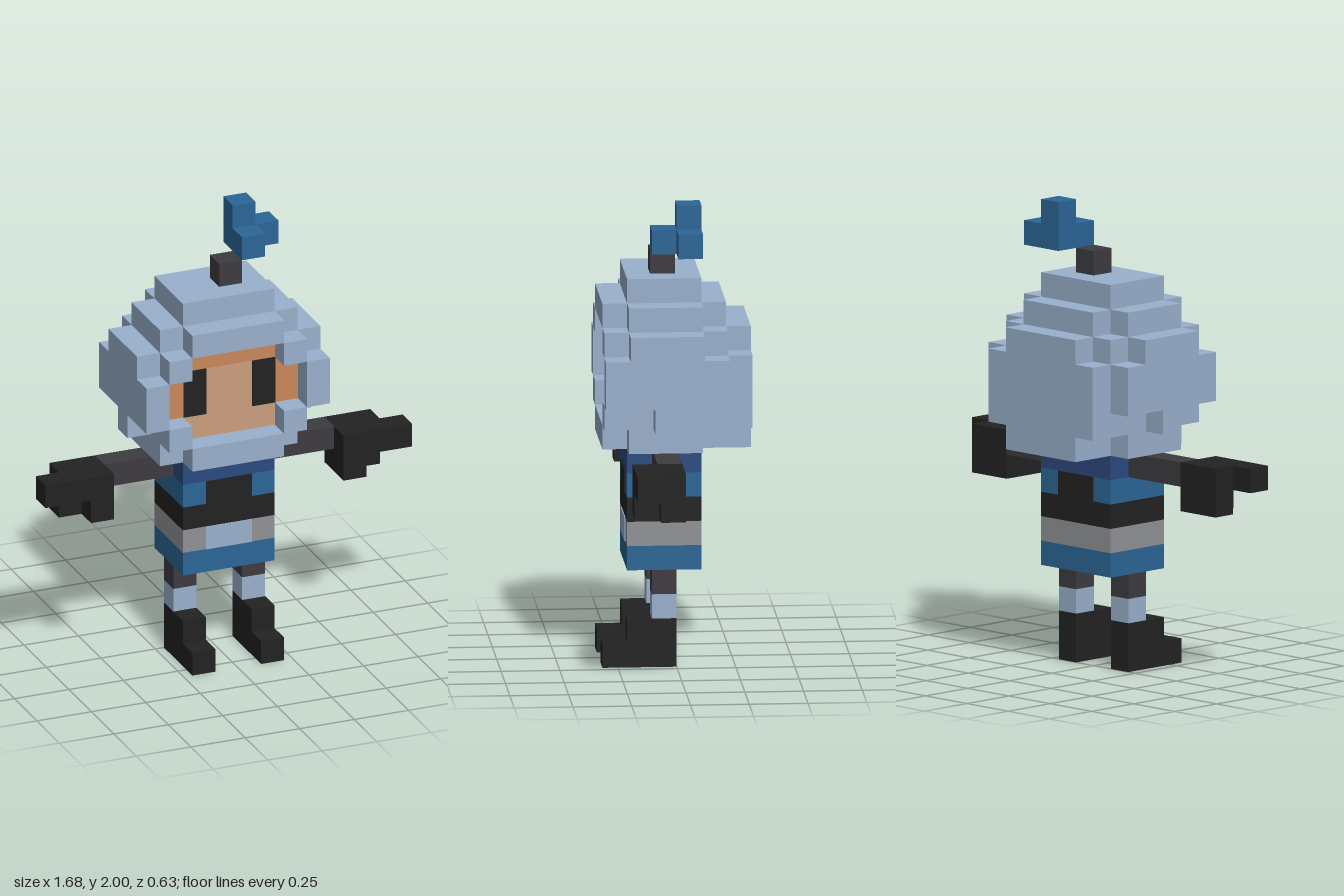
import * as THREE from 'three';

// One block of the grid; the figure is 19 blocks tall
const U = 2 / 19;

const material = (name, color) => {
  const m = new THREE.MeshStandardMaterial({ color });
  m.name = name;
  return m;
};

export function createModel() {
  const model = new THREE.Group();
  model.name = 'blockFigure';

  const hood = material('pale blue', 0x9ab0cc);
  const black = material('black', 0x222222);
  const grey = material('dark grey', 0x3d3b40);
  const blue = material('blue', 0x2b6696);
  const navy = material('navy', 0x2c4a80);
  const silver = material('silver', 0x8f9296);
  const skin = material('skin', 0xca9f7e);
  const hair = material('orange', 0xc9875b);

  const group = (name) => {
    const g = new THREE.Group();
    g.name = name;
    model.add(g);
    return g;
  };

  // Box between two corners given in blocks
  const box = (parent, name, mat, x0, x1, y0, y1, z0, z1) => {
    const geo = new THREE.BoxGeometry((x1 - x0) * U, (y1 - y0) * U, (z1 - z0) * U);
    const mesh = new THREE.Mesh(geo, mat);
    mesh.name = name;
    mesh.position.set((x0 + x1) / 2 * U, (y0 + y1) / 2 * U, (z0 + z1) / 2 * U);
    parent.add(mesh);
  };
  // The same box on both sides of the body
  const pair = (parent, name, mat, x0, x1, ...rest) => {
    box(parent, name + 'Left', mat, x0, x1, ...rest);
    box(parent, name + 'Right', mat, -x1, -x0, ...rest);
  };

  // Legs and boots
  const legs = group('legs');
  pair(legs, 'bootToe', black, 1, 2, 0, 1, 2, 3);
  pair(legs, 'bootFoot', black, 1, 2, 0, 2, 0, 2);
  pair(legs, 'sock', hood, 1, 2, 2, 3, 0, 1);
  pair(legs, 'thigh', grey, 1, 2, 3, 4, 0, 1);

  // Torso in coloured bands
  const torso = group('torso');
  [['hem', blue], ['belt', silver], ['waist', black], ['chest', blue], ['collar', navy]]
    .forEach(([name, mat], i) => box(torso, name, mat, -2, 2, 4 + i, 5 + i, -1, 2));
  const t = 0.04; // painted plate thickness in blocks
  box(torso, 'beltPatch', hood, -1, 1, 5, 6, 2, 2 + t);
  box(torso, 'chestPanelFront', black, -1, 1, 7, 8, 2, 2 + t);
  box(torso, 'chestPanelBack', black, -1, 1, 7, 8, -1 - t, -1);

  // Arms and gloves
  const arms = group('arms');
  pair(arms, 'arm', grey, 2, 5, 8, 9, 0, 1);
  pair(arms, 'palm', black, 5, 7, 7, 9, 0, 1);
  pair(arms, 'finger', black, 5, 8, 8, 9, 1, 2);
  pair(arms, 'thumb', black, 5, 6, 7, 8, 1, 2);

  // Rounded hood: half width, bottom, top, back, front
  const head = group('head');
  [
    [2, 9, 10, -3, 3], [3, 9, 10, -1, 2],
    [3, 10, 11, -3, 2], [4, 10, 11, 0, 1],
    [3, 11, 13, -3, 2], [4, 11, 13, -2, 2],
    [2, 13, 14, -3, 2], [3, 13, 14, -2, 2], [4, 13, 14, -1, 2],
    [2, 14, 15, -2, 3], [3, 14, 15, -1, 2],
    [2, 15, 16, -1, 2],
  ].forEach(([w, ...rest]) => box(head, 'hood', hood, -w, w, ...rest));

  // Raised rim around the face opening
  pair(head, 'rimSide', hood, 3, 4, 11, 13, 2, 3);
  pair(head, 'rimUpper', hood, 2, 3, 13, 14, 2, 3);
  pair(head, 'rimLower', hood, 2, 3, 10, 11, 2, 3);

  // Face set back inside the opening
  box(head, 'face', skin, -2, 2, 10, 13, 2, 2 + t);
  box(head, 'fringe', hair, -2, 2, 13, 14, 2, 2 + t);
  pair(head, 'sideHair', hair, 2, 3, 11, 13, 2, 2 + t);
  pair(head, 'eye', black, 1, 2, 11, 13, 2 + t, 2 + 2 * t);

  // Stalk and tuft on top
  const tuft = group('topTuft');
  box(tuft, 'stalk', grey, 0, 1, 16, 17, 0, 1);
  box(tuft, 'tuftUpright', blue, 1, 2, 17, 19, -1, 0);
  box(tuft, 'tuftSide', blue, 2, 3, 17, 18, -1, 0);
  box(tuft, 'tuftFront', blue, 1, 2, 17, 18, 0, 1);

  return model;
}
